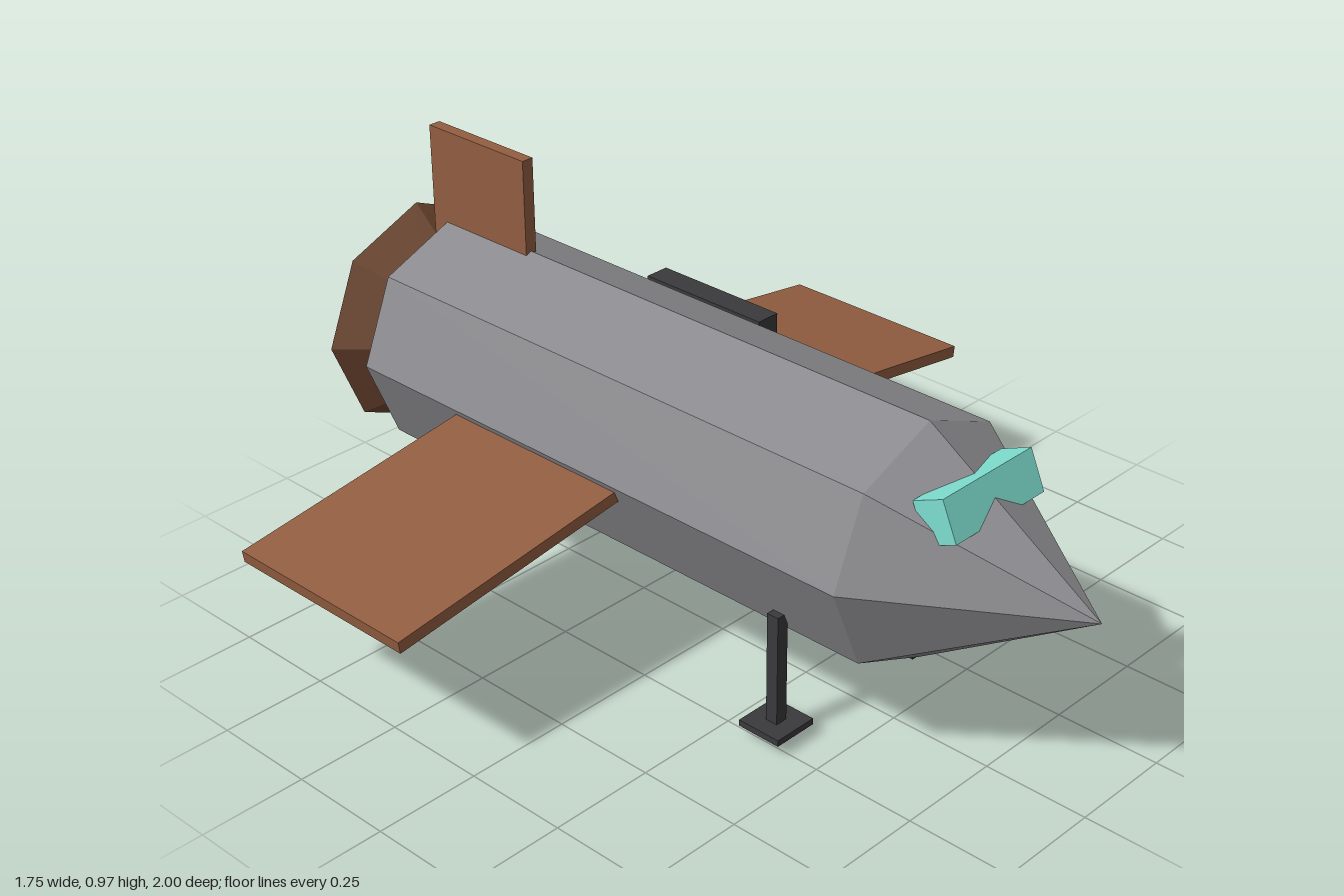
import * as THREE from 'three';

const mat = (name, color) => {
  const m = new THREE.MeshStandardMaterial({ color, flatShading: true });
  m.name = name;
  return m;
};

export function createModel() {
  const model = new THREE.Group();
  model.name = 'ship';
  const hullGrey = mat('hull grey', 0x8a8a8e);
  const darkGrey = mat('dark grey', 0x3a3a3c);
  const rust = mat('rust brown', 0x925e41);
  const darkBrown = mat('dark brown', 0x6e4630);
  const glass = mat('turquoise glass', 0x7fdfd1);
  const glow = mat('pale gold', 0xc6b26a);

  const add = (name, geometry, material, x, y, z) => {
    const mesh = new THREE.Mesh(geometry, material);
    mesh.name = name;
    mesh.position.set(x, y, z);
    model.add(mesh);
    return mesh;
  };
  const box = (name, material, [w, h, d], [x, y, z]) =>
    add(name, new THREE.BoxGeometry(w, h, d), material, x, y, z);
  // eight-sided section lying along z, from back to front
  const octagon = (name, material, rFront, rBack, zBack, zFront) =>
    add(name, new THREE.CylinderGeometry(rFront, rBack, zFront - zBack, 8).rotateX(Math.PI / 2),
      material, 0, 0.467, (zBack + zFront) / 2);

  // hull, nose and flared engine
  octagon('hull', hullGrey, 0.281, 0.281, -0.857, 0.56);
  octagon('nose', hullGrey, 0, 0.281, 0.56, 1);
  octagon('engineBell', darkBrown, 0.16, 0.281, -0.983, -0.85);
  box('enginePanel', glow, [0.25, 0.25, 0.04], [0, 0.467, -0.98]);

  // windscreen sunk into the nose
  box('windscreen', glass, [0.28, 0.095, 0.08], [0, 0.628, 0.691]).rotation.x = -0.41;

  // tail fin
  box('tailFin', rust, [0.03, 0.3, 0.31], [0, 0.82, -0.745]);

  // drooping wings and landing legs
  for (const s of [-1, 1]) {
    box(s > 0 ? 'leftWing' : 'rightWing', rust, [0.64, 0.028, 0.5], [s * 0.558, 0.399, -0.305])
      .rotation.z = -s * 0.141;
    for (const z of [0.36, -0.65]) {
      box('leg', darkGrey, [0.03, 0.28, 0.03], [s * 0.22, 0.17, z]);
      box('foot', darkGrey, [0.11, 0.015, 0.11], [s * 0.22, 0.037, z]);
    }
  }

  // side door with its lowered ramp
  box('door', darkGrey, [0.06, 0.405, 0.345], [0.256, 0.452, -0.275]);
  box('ramp', darkBrown, [0.463, 0.018, 0.31], [0.455, 0.141, -0.275]).rotation.z = 0.609;

  return model;
}
